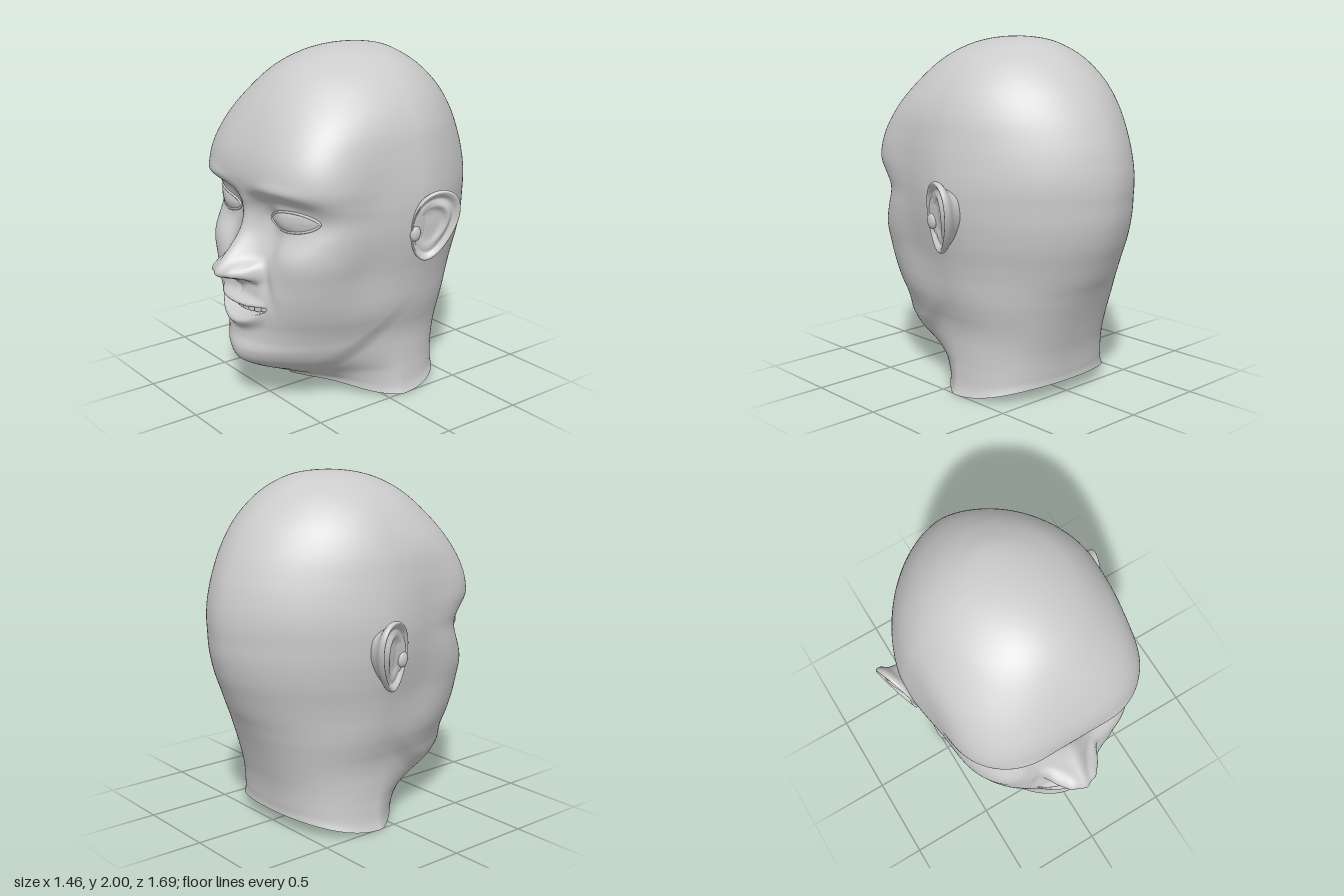
import * as THREE from 'three';
import { RoundedBoxGeometry } from 'three/addons/geometries/RoundedBoxGeometry.js';

const material = new THREE.MeshStandardMaterial({ color: 0xcccccc, side: THREE.DoubleSide });
const gauss = (x, y, cx, cy, sx, sy) => Math.exp(-(((x - cx) / sx) ** 2) - ((y - cy) / sy) ** 2);
const smooth = THREE.MathUtils.smoothstep;

// Catmull-Rom through the rows of a table, s = fractional row
function spline(table, s) {
  const last = table.length - 1;
  const i = Math.min(Math.floor(s), last - 1), t = s - i;
  const row = k => table[Math.min(Math.max(k, 0), last)];
  const [p0, p1, p2, p3] = [row(i - 1), row(i), row(i + 1), row(i + 2)];
  return p1.map((b, k) => {
    const a = p0[k], c = p2[k], d = p3[k];
    return b + 0.5 * t * (c - a + t * (2 * a - 5 * b + 4 * c - d + t * (3 * (b - c) + d - a)));
  });
}

// Surface of rows x columns, columns wrap around
function grid(name, rows, cols, point) {
  const pos = [], index = [];
  for (let i = 0; i <= rows; i++) {
    for (let j = 0; j < cols; j++) {
      pos.push(...point(i / rows, j / cols));
      if (i === rows) continue;
      const k = (j + 1) % cols, a = i * cols + j, c = i * cols + k;
      index.push(a, a + cols, c, c, a + cols, c + cols);
    }
  }
  const g = new THREE.BufferGeometry();
  g.setAttribute('position', new THREE.Float32BufferAttribute(pos, 3));
  g.setIndex(index);
  g.computeVertexNormals();
  return named(name, g);
}

function named(name, geometry) {
  const mesh = new THREE.Mesh(geometry, material);
  mesh.name = name;
  return mesh;
}

// Head sections: height, front z, back z, half width, front and back roundness
const ZC = -0.1;
const SECTIONS = [
  [1.985, -0.27, 0.08, -0.14, 2, 2], // phantom row, keeps the crown flat
  [2, -0.1, -0.1, 0, 2, 2],
  [1.985, 0.08, -0.27, 0.14, 2, 2],
  [1.94, 0.24, -0.385, 0.27, 2, 1.95],
  [1.86, 0.375, -0.51, 0.4, 2.1, 1.85],
  [1.74, 0.49, -0.635, 0.505, 2.35, 1.8],
  [1.6, 0.582, -0.73, 0.575, 2.8, 1.75],
  [1.45, 0.65, -0.798, 0.612, 3.2, 1.72],
  [1.32, 0.672, -0.832, 0.632, 3.3, 1.72],
  [1.22, 0.643, -0.843, 0.64, 3.1, 1.72],
  [1.13, 0.618, -0.84, 0.638, 3, 1.72],
  [1.02, 0.62, -0.83, 0.626, 3.2, 1.75],
  [0.9, 0.64, -0.8, 0.603, 3.3, 1.8],
  [0.79, 0.662, -0.757, 0.577, 3.1, 1.85],
  [0.7, 0.68, -0.72, 0.56, 2.85, 1.9],
  [0.62, 0.688, -0.68, 0.547, 2.6, 2],
  [0.55, 0.69, -0.65, 0.532, 2.4, 2.1],
  [0.48, 0.692, -0.622, 0.512, 2.2, 2.2],
  [0.41, 0.702, -0.597, 0.492, 2.05, 2.3],
  [0.34, 0.722, -0.575, 0.482, 1.87, 2.35],
  [0.27, 0.7, -0.555, 0.48, 1.65, 2.4],
  [0.21, 0.61, -0.543, 0.48, 1.5, 2.45],
  [0.15, 0.48, -0.535, 0.482, 1.36, 2.5],
  [0.09, 0.385, -0.53, 0.49, 1.28, 2.5],
  [0.05, 0.35, -0.53, 0.508, 1.25, 2.5],
];

// Nose ridge: height, projection, half width
const NOSE = [
  [1.3, 0, 0.06], [1.2, 0.012, 0.06], [1.1, 0.024, 0.06], [1.02, 0.05, 0.068], [0.945, 0.1, 0.078],
  [0.87, 0.158, 0.09], [0.82, 0.186, 0.1], [0.79, 0.17, 0.095], [0.765, 0.09, 0.085], [0.74, 0.03, 0.06],
  [0.71, 0, 0.05],
];

// Fractional row of a table at height y (heights fall along the table)
function rowAt(table, y, lo) {
  let hi = table.length - 1;
  for (let k = 0; k < 24; k++) {
    const mid = (lo + hi) / 2;
    if (spline(table, mid)[0] > y) lo = mid; else hi = mid;
  }
  return lo;
}

// Relief of the face added along z
function relief(px, y) {
  const x = Math.abs(px);
  let z = 0;
  if (y < 1.3 && y > 0.71) {
    const [, h, w] = spline(NOSE, rowAt(NOSE, y, 0));
    z += h * Math.exp(-((x / w) ** 2));
  }
  z += 0.07 * Math.exp(-((Math.abs(x - 0.112) / 0.058) ** 3) - (Math.abs(y - 0.818) / 0.052) ** 3); // nose wings
  z -= 0.04 * gauss(x, y, 0.08, 0.774, 0.03, 0.014);      // nostrils
  const brow = 1.3 - 0.7 * (x - 0.3) ** 2;
  z += 0.014 * gauss(x, y, 0.3, brow, 0.2, 0.04);         // brow
  z -= 0.022 * gauss(x, y, 0.3, brow - 0.075, 0.18, 0.04); // hollow under brow
  z -= 0.04 * gauss(x, y, 0.16, 1.12, 0.08, 0.11);        // inner eye socket
  z -= 0.04 * gauss(x, y, 0.37, 1.13, 0.18, 0.1);         // eye socket
  z -= 0.02 * gauss(x, y, 0.28, 1.03, 0.14, 0.06);        // under the eye
  z -= 0.025 * gauss(x, y, 0.2, 0.96, 0.07, 0.08);        // beside the nose
  z += 0.02 * gauss(x, y, 0.38, 0.9, 0.13, 0.12);         // cheek
  z -= 0.014 * gauss(x, y, 0.2 + (0.8 - y) * 0.3, 0.76, 0.04, 0.13); // smile fold
  z -= 0.008 * gauss(x, y, 0, 0.69, 0.02, 0.03);          // groove above lip
  const u = x / 0.215, lip = Math.max(0, 1 - u * u);
  z += 0.05 * lip * gauss(0, y, 0, 0.632, 1, 0.028);      // upper lip
  z += 0.05 * lip * gauss(0, y, 0, 0.515 + 0.075 * u * u, 1, 0.04); // lower lip
  const low = 0.55 + 0.06 * u * u, high = 0.602 + 0.014 * u * u; // open mouth
  z -= 0.11 * smooth(y, low - 0.008, low + 0.008) * (1 - smooth(y, high, high + 0.014)) * smooth(lip, 0, 0.25);
  return z;
}

function faceZ(x, y) {
  const [, zf, , w, n] = spline(SECTIONS, rowAt(SECTIONS, y, 1));
  return ZC + (zf - ZC) * Math.pow(1 - Math.pow(Math.abs(x / w), n), 1 / n) + relief(x, y);
}

function headPoint(v, t) {
  const [y, zf, zb, width, nf, nb] = spline(SECTIONS, 1 + v * (SECTIONS.length - 2));
  // columns are closer together on the face
  const q = 2 * t - 1, a = Math.PI * q - 0.6 * Math.sin(Math.PI * q);
  const s = Math.sin(a), c = Math.cos(a), w = Math.max(width, 1e-4);
  const depth = Math.max(c > 0 ? zf - ZC : ZC - zb, 1e-4), n = c > 0 ? nf : nb;
  const r = Math.pow(Math.pow(Math.abs(s / w), n) + Math.pow(Math.abs(c / depth), n), -1 / n);
  let x = r * s, z = ZC + r * c;
  // neck tucks in below the jaw line, temples and cheeks are slightly hollow
  const jaw = 0.27 + 0.28 * ((0.6 - z) / 0.6) ** 2;
  const tuck = (1 - smooth(y, jaw - 0.14, jaw + 0.02)) * Math.exp(-(((z - 0.22) / 0.2) ** 2)) * smooth(y, 0.05, 0.2);
  const hollow = Math.exp(-(((z - 0.2) / 0.2) ** 2)) * smooth(y, 0.5, 0.9) * (1 - smooth(y, 1.2, 1.7));
  const face = smooth(c, 0.3, 0.6);
  if (face > 0) z += face * relief(x, y);
  x *= 1 - 0.06 * tuck - 0.055 * hollow;
  // lower edge of the neck hangs down at the sides
  const edge = (1 - smooth(y, 0.05, 0.16)) * (0.03 - 0.08 * s ** 4);
  return [x, y + edge, z];
}

// Eye: almond bulge with a lid rim
function almond(r, a, side) {
  const x = 0.315 + 0.16 * r * Math.cos(a);
  const y = 1.127 + 0.058 * r * Math.sin(a) * Math.pow(Math.abs(Math.sin(a)), 0.25) + 0.01 * r * Math.cos(a);
  return [side * x, y, faceZ(x, y) + 0.003 + 0.026 * (1 - r * r)];
}

function eye(side) {
  const g = new THREE.Group();
  g.name = side > 0 ? 'leftEye' : 'rightEye';
  const rim = Array.from({ length: 40 }, (_, k) => new THREE.Vector3(...almond(1, (k / 40) * 2 * Math.PI, side)));
  g.add(
    grid('eyeball', 10, 48, (r, t) => almond(r, side * 2 * Math.PI * t, side)),
    named('eyelids', new THREE.TubeGeometry(new THREE.CatmullRomCurve3(rim, true), 80, 0.007, 8, true)),
  );
  return g;
}

// Ear rings from the bowl to the helix and round the back: radius, height
const EAR = [
  [0, -0.012], [0.3, -0.014], [0.45, -0.012], [0.56, -0.006], [0.68, -0.004], [0.78, -0.006], [0.88, 0.01],
  [0.96, 0.016], [1, 0.004], [0.98, -0.014], [0.9, -0.03], [0.78, -0.05], [0.68, -0.09],
];

function ear(side) {
  const g = new THREE.Group();
  g.name = side > 0 ? 'leftEar' : 'rightEar';
  const back = new THREE.Vector3(0.33, 0, -0.94), up = new THREE.Vector3(0.17, 1, -0.13);
  const out = new THREE.Vector3(0.94, 0, 0.33);
  const shell = grid('earShell', 48, 56, (v, t) => {
    const [r, h] = spline(EAR, v * (EAR.length - 1));
    const a = 2 * Math.PI * t, s = Math.sin(a);
    // inner fold on the rear half of the front face
    const fold = v < 0.6 ? 0.022 * Math.max(0, Math.cos(a - 0.4)) * Math.exp(-(((r - 0.58) / 0.1) ** 2)) : 0;
    const p = new THREE.Vector3(0.656, 1.055, -0.165)
      .addScaledVector(back, 0.138 * r * Math.cos(a) * (1 + 0.22 * s) - 0.025 * (1 - r))
      .addScaledVector(up, 0.205 * r * s)
      .addScaledVector(out, h + fold);
    return [side * p.x, p.y, p.z];
  });
  const tragus = named('tragus', new THREE.SphereGeometry(0.03, 16, 12));
  tragus.position.set(side * 0.618, 1.02, -0.065);
  tragus.scale.set(0.7, 1.5, 1.2);
  g.add(shell, tragus);
  return g;
}

export function createModel() {
  const model = new THREE.Group();
  model.name = 'head';
  model.add(grid('skin', 220, 260, headPoint));
  for (const side of [1, -1]) model.add(eye(side), ear(side));

  // Upper teeth on an arc
  const teeth = new THREE.Group();
  teeth.name = 'teeth';
  for (let i = 0; i < 8; i++) {
    const x = (i - 3.5) * 0.043;
    const tooth = named('tooth', new RoundedBoxGeometry(0.043, 0.05, 0.03, 2, 0.008));
    tooth.position.set(x, 0.589 + 0.6 * x * x, 0.655 - 1.6 * x * x);
    tooth.rotation.y = Math.atan(3.2 * x);
    teeth.add(tooth);
  }

  // Inside of the mouth, seen through the open neck
  const cavity = named('mouthCavity', new THREE.SphereGeometry(1, 32, 20));
  cavity.scale.set(0.22, 0.15, 0.2);
  cavity.position.set(0, 0.54, 0.38);
  model.add(teeth, cavity);
  return model;
}
